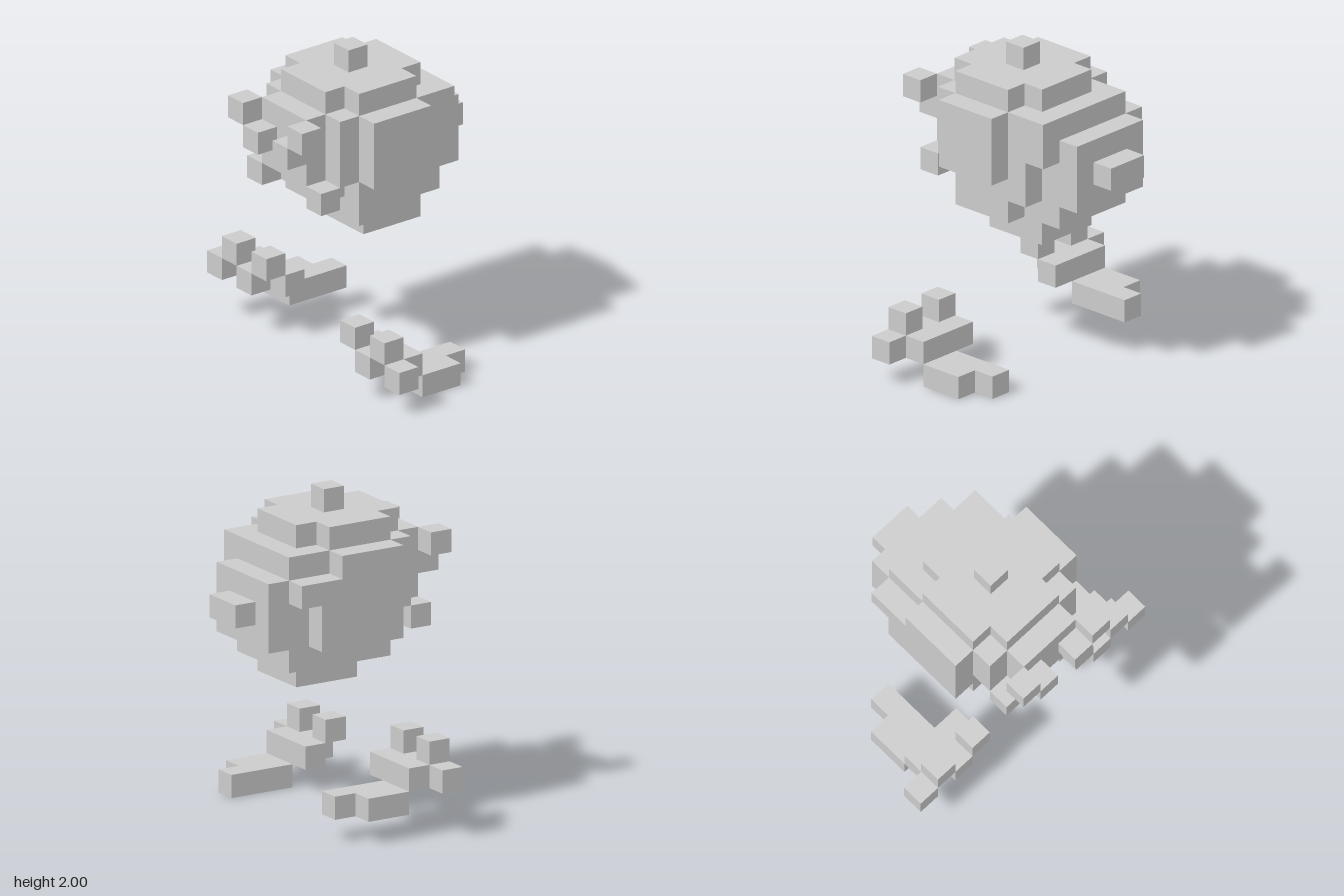
import * as THREE from 'three';

const U = 1 / 7; // edge of one cube
const material = new THREE.MeshStandardMaterial({ color: 0xcccccc, flatShading: true });

// Box from its limits, counted in cubes
function block(parent, name, [x0, x1], [y0, y1], [z0, z1]) {
  const mesh = new THREE.Mesh(new THREE.BoxGeometry((x1 - x0) * U, (y1 - y0) * U, (z1 - z0) * U), material);
  mesh.position.set((x0 + x1) * U / 2, (y0 + y1) * U / 2, (z0 + z1) * U / 2);
  mesh.name = name;
  parent.add(mesh);
}

// Same box on the left (+x) and right (-x)
function pair(parent, name, [x0, x1], y, z) {
  block(parent, name + 'Left', [x0, x1], y, z);
  block(parent, name + 'Right', [-x1, -x0], y, z);
}

function createBody() {
  const body = new THREE.Group();
  body.name = 'body';

  // Stepped round trunk, bottom to top
  block(body, 'base', [-1.5, 1.5], [6, 7], [-2, 1]);
  block(body, 'lowerBelly', [-2.5, 2.5], [7, 8], [-1, 2]);
  block(body, 'lowerBack', [-2.5, 1.5], [7, 8], [-3, -1]);
  block(body, 'trunk', [-2.5, 2.5], [8, 12], [-2, 2]);
  block(body, 'chin', [-1.5, 1.5], [8, 9], [2, 3]);
  block(body, 'front', [-2.5, 2.5], [9, 12], [2, 3]);
  block(body, 'face', [-1.5, 1.5], [9, 12], [3, 4]);
  block(body, 'crown', [-2.5, 2.5], [12, 13], [-1, 2]);
  block(body, 'crownBack', [-1.5, 1.5], [12, 13], [-2, -1]);
  block(body, 'crownFront', [-1.5, 1.5], [12, 13], [2, 3]);
  block(body, 'topKnob', [-0.5, 0.5], [13, 14], [0, 1]);

  // Back steps and tail
  block(body, 'backLower', [-2.5, 1.5], [8, 10], [-3, -2]);
  block(body, 'backUpper', [-2.5, 2.5], [10, 12], [-3, -2]);
  block(body, 'rump', [-2.5, 1.5], [8, 11], [-4, -3]);
  block(body, 'tail', [-1.5, 0.5], [9, 10], [-5, -4]);

  // Side plates
  block(body, 'sidePlateLeft', [2.5, 3.5], [9, 12], [-1, 2]);
  block(body, 'sidePlateRightTop', [-3.5, -2.5], [11, 12], [-1, 2]);
  block(body, 'sidePlateRightMiddle', [-3.5, -2.5], [10, 11], [-3, 2]);
  block(body, 'sidePlateRightLower', [-3.5, -2.5], [8, 10], [-2, 2]);

  // Face details
  pair(body, 'eye', [0.5, 1.5], [10, 11], [4, 5]);
  pair(body, 'brow', [1.5, 2.5], [11, 12], [4, 5]);
  pair(body, 'cheek', [1.5, 2.5], [8, 9], [3, 4]);
  return body;
}

// Left foot, standing on y = 0
function createFoot(name) {
  const foot = new THREE.Group();
  foot.name = name;
  block(foot, 'sole', [3.5, 5.5], [0, 1], [-1, 1]);
  block(foot, 'heel', [3.5, 4.5], [0, 1], [-2, -1]);
  block(foot, 'instep', [2.5, 5.5], [1, 2], [1, 2]);
  for (let i = 0; i < 4; i++) { // toes alternate high and low
    const y = i % 2 ? 1 : 2;
    block(foot, 'toe', [2.5 + i, 3.5 + i], [y, y + 1], [2, 3]);
  }
  return foot;
}

export function createModel() {
  const model = new THREE.Group();
  model.name = 'blockCreature';
  model.add(createBody(), createFoot('leftFoot'));

  // Right foot is mirrored and raised by one cube
  const right = createFoot('rightFoot');
  for (const part of right.children) part.position.x *= -1;
  right.position.y = U;
  model.add(right);
  return model;
}
